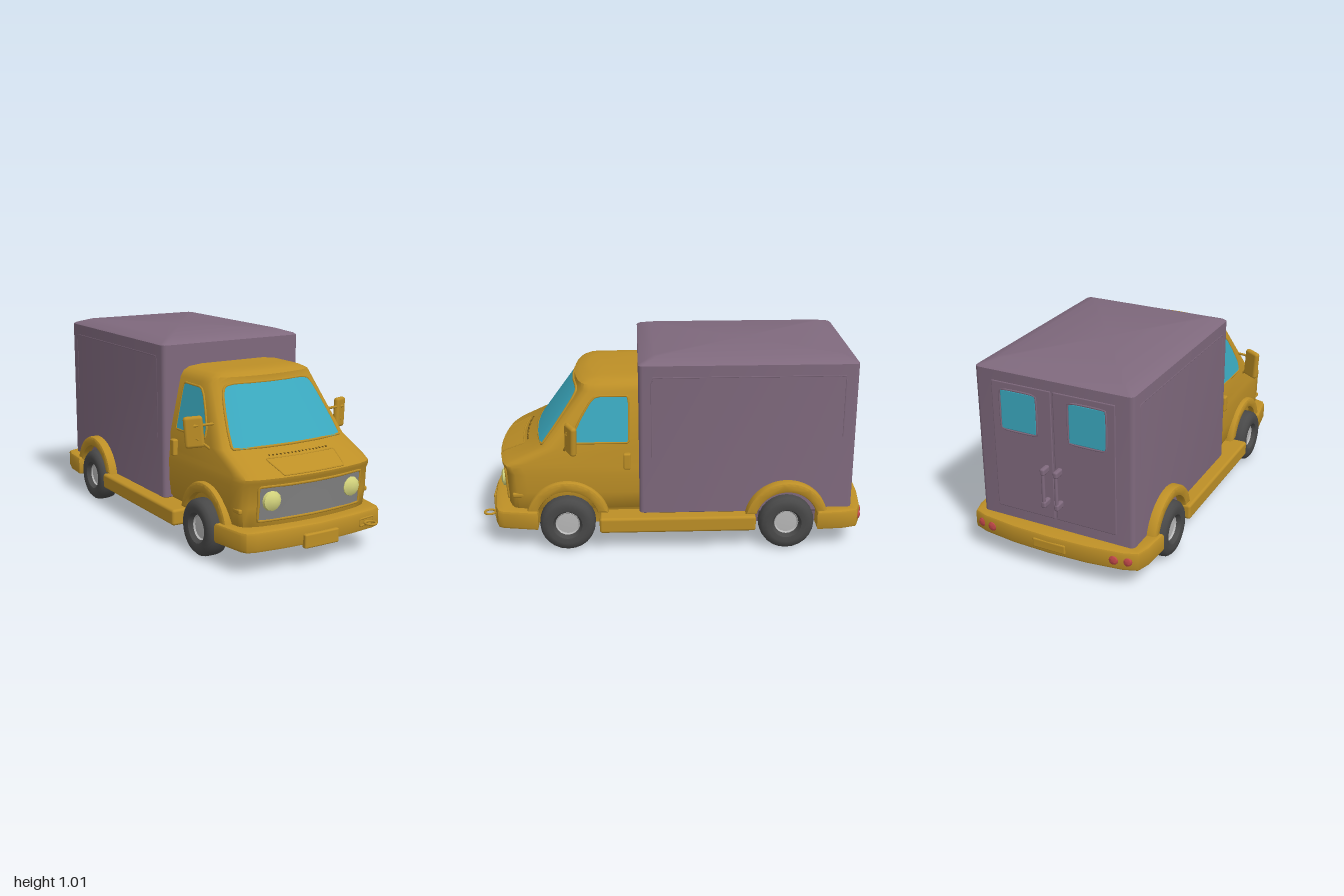
import * as THREE from 'three';
import { toCreasedNormals } from 'three/addons/utils/BufferGeometryUtils.js';
import { RoundedBoxGeometry } from 'three/addons/geometries/RoundedBoxGeometry.js';

const V = (x, y, z) => new THREE.Vector3(x, y, z);
const mat = (color) => new THREE.MeshStandardMaterial({ color, side: THREE.DoubleSide });
const paint = mat(0xbd8f26), cargo = mat(0x7f697d), glass = mat(0x3aa8be), rubber = mat(0x484848);
const metal = mat(0xb8b8b8), grey = mat(0x808080), lamp = mat(0xd6d67e), red = mat(0xc04848), dark = mat(0x6e5215);

// Cab levels: height, half width, front z. The front bow is a depth drop by relative width.
const CAB = [[0.122, 0.36, 0.86], [0.2, 0.365, 0.88], [0.21, 0.374, 0.885], [0.3, 0.384, 0.89], [0.4, 0.384, 0.895],
  [0.424, 0.382, 0.91], [0.442, 0.38, 0.913], [0.46, 0.378, 0.887], [0.54, 0.374, 0.715], [0.82, 0.312, 0.515],
  [0.85, 0.293, 0.512], [0.866, 0.262, 0.488], [0.874, 0.19, 0.44]];
const BOW = [[0, 0], [0.25, 0.003], [0.5, 0.012], [0.75, 0.028], [0.88, 0.045], [0.95, 0.06], [0.985, 0.085], [1, 0.14]];

function lerpTable(table, t, col) {
  let i = 0;
  while (i < table.length - 2 && t > table[i + 1][0]) i++;
  const a = table[i], b = table[i + 1];
  return a[col] + (b[col] - a[col]) * (t - a[0]) / (b[0] - a[0]);
}
const sideX = (y) => lerpTable(CAB, y, 1);
const frontZ = (x, y) => lerpTable(CAB, y, 2) - lerpTable(BOW, Math.min(1, Math.abs(x) / sideX(y)), 1);

// Skin over horizontal loops, bottom to top, closed by fans
function loft(loops, crease) {
  const n = loops[0].length, pts = loops.flat(), idx = [];
  loops.slice(1).forEach((_, r) => {
    for (let i = 0; i < n; i++) {
      const a = r * n + i, b = r * n + (i + 1) % n;
      idx.push(a, b, b + n, a, b + n, a + n);
    }
  });
  [loops[0], loops.at(-1)].forEach((loop, top) => {
    const c = pts.length, base = top ? n * (loops.length - 1) : 0;
    pts.push(loop.reduce((s, p) => s.add(p), V(0, 0, 0)).divideScalar(n));
    for (let i = 0; i < n; i++) {
      const a = base + i, b = base + (i + 1) % n;
      idx.push(...(top ? [c, a, b] : [c, b, a]));
    }
  });
  const g = new THREE.BufferGeometry().setFromPoints(pts);
  g.setIndex(idx);
  return toCreasedNormals(g, crease);
}

// Panel laid on a surface: rows of [y, from, to], place(c, y) gives the point
function patch(rows, place, cols = 16) {
  const pts = [], idx = [];
  rows.forEach(([y, a, b], r) => {
    for (let i = 0; i <= cols; i++) {
      pts.push(place(a + (b - a) * i / cols, y));
      if (r && i) {
        const k = r * (cols + 1) + i;
        idx.push(k - cols - 2, k - cols - 1, k, k - cols - 2, k, k - 1);
      }
    }
  });
  const g = new THREE.BufferGeometry().setFromPoints(pts);
  g.setIndex(idx);
  g.computeVertexNormals();
  return g;
}

const rod = (pts, r, closed = false) =>
  new THREE.TubeGeometry(new THREE.CatmullRomCurve3(pts, closed, 'catmullrom', 0.1), pts.length * 8, r, 6, closed);

// Raised rim round a patch
function rim(rows, place, r) {
  const edge = ([y, a, b]) => [0.25, 0.5, 0.75].map((t) => place(a + (b - a) * t, y));
  return rod([...rows.map(([y, a]) => place(a, y)), ...edge(rows.at(-1)),
    ...rows.slice().reverse().map(([y, , b]) => place(b, y)), ...edge(rows[0]).reverse()], r, true);
}

// Half plan outline [x, z] mirrored and extruded upwards with bevels
function plan(half, y0, y1, b = 0.014) {
  const all = [...half, ...half.filter((p) => p[0] > 0).reverse().map(([x, z]) => [-x, z])];
  const shape = new THREE.Shape(all.map(([x, z]) => new THREE.Vector2(x, -z)));
  const g = new THREE.ExtrudeGeometry(shape, { depth: y1 - y0 - 2 * b, bevelSize: b, bevelThickness: b, bevelOffset: -b, bevelSegments: 2 });
  return toCreasedNormals(g.rotateX(-Math.PI / 2).translate(0, y0 + b, 0), 0.5);
}

// Wheel arch band across x
function arch(width) {
  const s = new THREE.Shape();
  s.absarc(0, 0, 0.215, 0.2, Math.PI - 0.2, false);
  s.absarc(0, 0, 0.16, Math.PI - 0.27, 0.27, true);
  const g = new THREE.ExtrudeGeometry(s, { depth: width - 0.03, bevelSize: 0.015, bevelThickness: 0.015, bevelOffset: -0.015, bevelSegments: 2, curveSegments: 16 });
  return toCreasedNormals(g.translate(0, 0, 0.015 - width / 2).rotateY(Math.PI / 2), 0.6);
}

const lathe = (pts, seg) => toCreasedNormals(
  new THREE.LatheGeometry(pts.map(([r, h]) => new THREE.Vector2(r, h)), seg), 0.7);
const rbox = (w, h, d, r = 0.008) => new RoundedBoxGeometry(w, h, d, 2, r);

function boxLoop(y, inset) {
  const hx = 0.415 - inset, hz = 0.5475 - inset, r = 0.022, loop = [];
  for (let k = 0; k < 4; k++) for (let j = 0; j < 4; j++) {
    const t = (k + j / 3) * Math.PI / 2, m = (k + 0.5) * Math.PI / 2;
    loop.push(V(Math.sign(Math.sin(m)) * (hx - r) + r * Math.sin(t), y, -0.3675 + Math.sign(Math.cos(m)) * (hz - r) + r * Math.cos(t)));
  }
  return loop;
}

export function createModel() {
  const truck = new THREE.Group();
  truck.name = 'boxTruck';
  const add = (name, geo, m, x = 0, y = 0, z = 0) => {
    const mesh = new THREE.Mesh(geo, m);
    mesh.name = name;
    mesh.position.set(x, y, z);
    truck.add(mesh);
    return mesh;
  };

  // Cab shell
  const us = [...BOW.slice(1).reverse().map(([u, d]) => [-u, d]), ...BOW];
  add('cab', loft(CAB.map(([y, w, z]) => [...us.map(([u, d]) => V(u * w, y, z - d)), V(w, y, 0.17), V(-w, y, 0.17)]), 0.75), paint);

  // Windscreen, bonnet panel, vents and grille follow the cab front
  const onFront = (off) => (x, y) => V(x, y, frontZ(x, y) + off);
  const sym = (rows) => rows.map(([y, h]) => [y, -h, h]);
  const screen = sym([[0.543, 0.314], [0.56, 0.317], [0.62, 0.308], [0.7, 0.29], [0.77, 0.27], [0.8, 0.255], [0.812, 0.24], [0.819, 0.2]]);
  add('windscreen', patch(screen, onFront(0.006)), glass);
  add('windscreenRim', rim(screen, onFront(0.003), 0.007), paint);
  const bonnet = sym([[0.45, 0.172], [0.465, 0.18], [0.505, 0.198]]);
  add('bonnetPanel', patch(bonnet, onFront(0.006)), paint);
  add('bonnetPanelRim', rim(bonnet, onFront(0.002), 0.004), paint);
  for (let i = -8; i <= 8; i++) add('bonnetVent', new THREE.BoxGeometry(0.006, 0.005, 0.012), dark, i * 0.021, 0.515, frontZ(i * 0.021, 0.515));
  const grille = sym([[0.238, 0.296], [0.32, 0.296], [0.402, 0.296]]);
  add('grille', patch(grille, onFront(0.004)), grey);
  add('grilleFrame', rim(grille, onFront(0.003), 0.007), paint);

  // Bumpers
  add('frontBumper', plan([[0, 0.955], [0.2, 0.943], [0.34, 0.925], [0.39, 0.908], [0.405, 0.88], [0.435, 0.7], [0.34, 0.7], [0.33, 0.73], [0, 0.73]], 0.11, 0.21), paint);
  add('frontPlate', rbox(0.2, 0.07, 0.03), paint, 0, 0.133, 0.953);
  add('rearBumper', plan([[0, -0.995], [0.2, -0.988], [0.38, -0.965], [0.45, -0.94], [0.472, -0.87], [0.482, -0.73], [0.38, -0.73], [0.38, -0.88], [0, -0.88]], 0.11, 0.21), paint);
  add('rearPlate', rbox(0.18, 0.05, 0.016), paint, 0, 0.155, -0.99);
  // Tow eye and its slot
  const slot = [[0.25, 0.142], [0.34, 0.142], [0.34, 0.175], [0.25, 0.175]].map(([x, y]) => V(x, y, 0.937 - (x - 0.25) * 0.15));
  add('towSlot', rod(slot, 0.005, true), paint);
  add('towEye', new THREE.TorusGeometry(0.028, 0.006, 8, 20).rotateX(Math.PI / 2), paint, 0.295, 0.157, 0.962);

  // Cargo box with hipped roof and a floor down between the sills
  add('cargoBox', loft([boxLoop(0.125, 0.02), boxLoop(0.185, 0.01), boxLoop(0.195, 0), boxLoop(0.98, 0), boxLoop(0.988, 0.01), boxLoop(1.01, 0.078)], 0.6), cargo);

  const tire = lathe([[0.055, -0.05], [0.1, -0.059], [0.125, -0.055], [0.139, -0.04], [0.143, -0.02], [0.143, 0.02], [0.139, 0.04], [0.125, 0.055], [0.1, 0.06], [0.076, 0.055], [0.062, 0.03]], 24).rotateZ(-Math.PI / 2);
  const hub = lathe([[0, -0.052], [0.056, -0.052], [0.066, 0.025], [0.062, 0.034], [0.056, 0.026], [0, 0.028]], 20).rotateZ(-Math.PI / 2);
  const dome = lathe([[0.05, 0], [0.047, 0.014], [0.03, 0.024], [0, 0.028]], 12).rotateX(Math.PI / 2);
  const tail = lathe([[0.024, -0.01], [0.024, 0], [0.022, 0.008], [0.012, 0.013], [0, 0.014]], 12).rotateX(-Math.PI / 2);
  const sideWin = [[0.565, 0.24, 0.495], [0.575, 0.23, 0.508], [0.62, 0.23, 0.506], [0.7, 0.228, 0.465], [0.765, 0.228, 0.425], [0.79, 0.232, 0.4], [0.797, 0.24, 0.375]];

  for (const s of [1, -1]) {
    const side = s > 0 ? 'left' : 'right';
    const onSide = (off) => (z, y) => V(s * (sideX(y) + off), y, z);

    // Wheels and arches
    for (const [end, z, x, ax, aw] of [['Front', 0.55, 0.391, 0.382, 0.06], ['Rear', -0.575, 0.415, 0.42, 0.085]]) {
      for (const [n, g, m] of [['Tire', tire, rubber], ['Hub', hub, metal]]) add(side + end + n, g, m, s * x, 0.143, z).rotation.y = s > 0 ? 0 : Math.PI;
      add(side + end + 'Arch', arch(aw), paint, s * ax, 0.15, z);
    }
    add(side + 'Sill', rbox(0.13, 0.082, 0.8, 0.014), paint, s * 0.415, 0.151, -0.015);

    // Cab side
    add(side + 'DoorWindow', patch(sideWin, onSide(0.003), 2), glass);
    add(side + 'DoorWindowRim', rim(sideWin, onSide(0), 0.006), paint);
    add(side + 'DoorHandle', rbox(0.03, 0.085, 0.038), paint, s * 0.388, 0.472, 0.24);
    add(side + 'Marker', rbox(0.022, 0.024, 0.06), paint, s * 0.37, 0.286, 0.8);
    add(side + 'Headlight', dome, lamp, s * 0.232, 0.333, frontZ(0.232, 0.333));

    // Mirror on two arms
    const mirror = add(side + 'Mirror', rbox(0.094, 0.155, 0.032, 0.015), paint, s * 0.438, 0.612, 0.52);
    mirror.rotation.set(0, s * 0.5, s * -0.08);
    add(side + 'MirrorUpperArm', rod([V(s * 0.34, 0.648, 0.55), V(s * 0.45, 0.645, 0.535)], 0.007), paint);
    add(side + 'MirrorLowerArm', rod([V(s * 0.365, 0.525, 0.56), V(s * 0.435, 0.585, 0.535)], 0.007), paint);

    // Cargo side moulding
    add(side + 'CargoMoulding', rod([[0.5, 0.115], [0.9, 0.115], [0.92, 0.095], [0.92, -0.83], [0.9, -0.85], [0.6, -0.85]].map(([y, z]) => V(s * 0.411, y, z)), 0.006), cargo);

    // Rear door leaf, window, handle and tail lamps
    add(side + 'RearDoor', rbox(0.322, 0.67, 0.02, 0.006), cargo, s * 0.165, 0.595, -0.908);
    add(side + 'RearWindow', rbox(0.19, 0.2, 0.01, 0.004), glass, s * 0.182, 0.79, -0.9145);
    const frame = [[0.087, 0.69], [0.277, 0.69], [0.277, 0.89], [0.087, 0.89]].map(([x, y]) => V(s * x, y, -0.917));
    add(side + 'RearWindowRim', rod(frame, 0.005, true), cargo);
    add(side + 'RearHandle', new THREE.CylinderGeometry(0.009, 0.009, 0.2, 10), cargo, s * 0.035, 0.443, -0.963);
    for (const y of [0.36, 0.533]) {
      add(side + 'RearHandleMount', rbox(0.026, 0.036, 0.058, 0.01), cargo, s * 0.035, y, -0.945);
    }
    for (const [x, z] of [[0.335, -0.967], [0.4, -0.952]]) add(side + 'TailLamp', tail, red, s * x, 0.16, z);
  }
  return truck;
}
